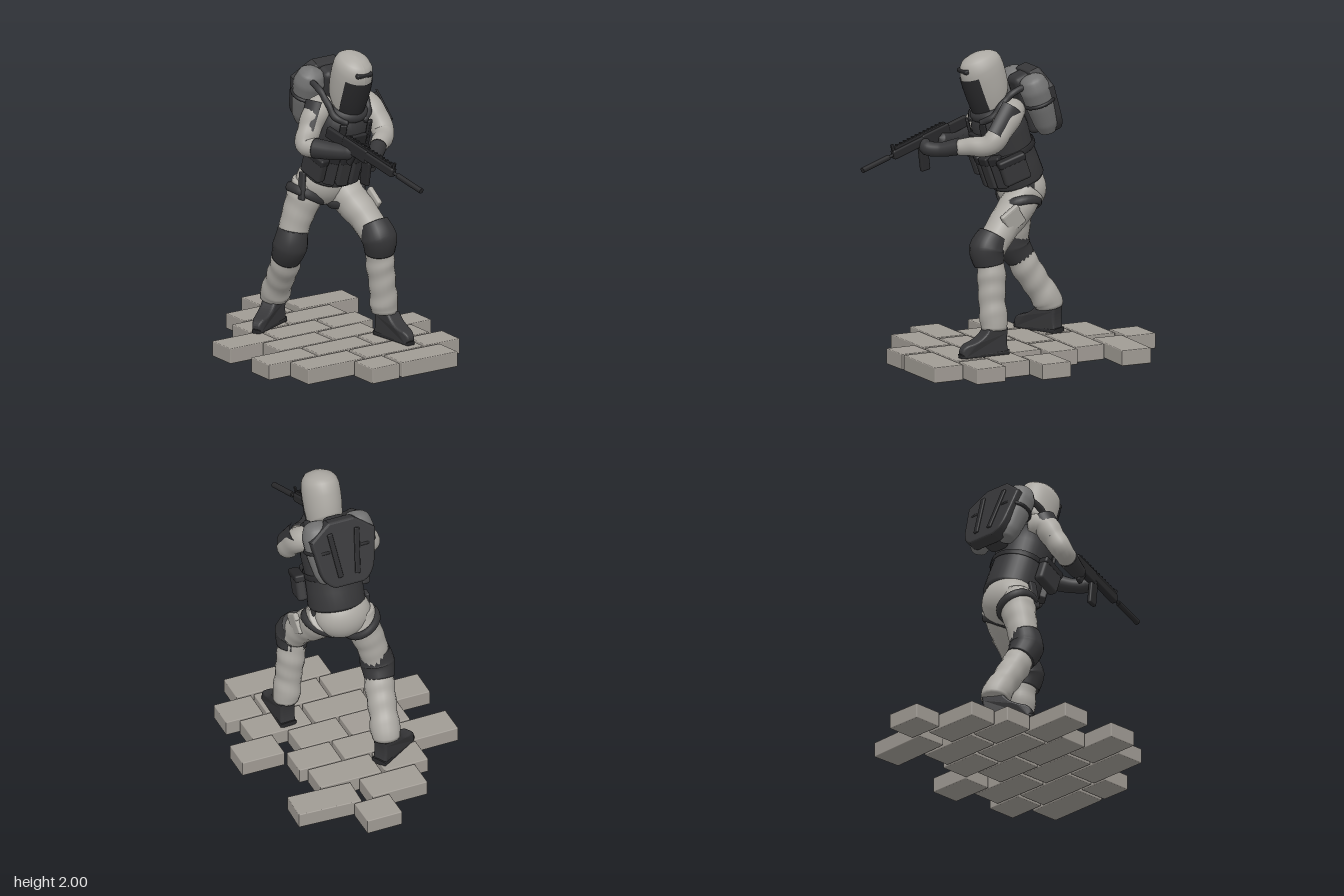
import * as THREE from 'three';
import { mergeVertices } from 'three/addons/utils/BufferGeometryUtils.js';
import { RoundedBoxGeometry } from 'three/addons/geometries/RoundedBoxGeometry.js';

const material = (name, color, side = THREE.FrontSide) => {
  const m = new THREE.MeshStandardMaterial({ color, side });
  m.name = name;
  return m;
};
const V = (x, y, z) => new THREE.Vector3(x, y, z);

export function createModel() {
  const cloth = material('pale cloth', 0xaca9a3);
  const stone = material('paving stone', 0xa09b94);
  const dark = material('dark padding', 0x363638, THREE.DoubleSide);
  const black = material('black gear', 0x29292b, THREE.DoubleSide);
  const steel = material('tank grey', 0x737373);
  const root = new THREE.Group();
  root.name = 'armouredSoldier';

  function add(parent, name, geo, mat, pos = [0, 0, 0], rot = [0, 0, 0]) {
    const mesh = new THREE.Mesh(geo, mat);
    mesh.name = name;
    mesh.position.set(...pos);
    mesh.rotation.set(...rot);
    parent.add(mesh);
    return mesh;
  }
  const box = (x, y, z, r = 0.012) => new RoundedBoxGeometry(x, y, z, 2, Math.min(r, x / 3, y / 3, z / 3));

  // Tapered tube through [x, y, z, radius] points, closed at both ends
  function limb(parent, name, mat, pts, fold = 0, rows = 28, sides = 18) {
    const curve = new THREE.CatmullRomCurve3(pts.map(p => V(p[0], p[1], p[2])));
    const geo = new THREE.TubeGeometry(curve, rows, 1, sides, false);
    const pos = geo.attributes.position, v = V(0, 0, 0);
    for (let i = 0; i <= rows; i++) {
      const u = i / rows, c = curve.getPointAt(u);
      const t = curve.getUtoTmapping(u) * (pts.length - 1);
      const k = Math.min(Math.floor(t), pts.length - 2);
      const base = THREE.MathUtils.lerp(pts[k][3], pts[k + 1][3], t - k);
      for (let j = 0; j <= sides; j++) {
        const n = i * (sides + 1) + j, a = (j % sides) / sides * Math.PI * 2;
        let r = base * (1 + fold * Math.sin(u * 26 + 1.5 * Math.sin(a)));
        if (i === 0 || i === rows) r = 0.0005;
        v.fromBufferAttribute(pos, n).sub(c).multiplyScalar(r).add(c);
        pos.setXYZ(n, v.x, v.y, v.z);
      }
    }
    geo.deleteAttribute('uv');
    geo.deleteAttribute('normal');
    const smooth = mergeVertices(geo, 1e-6);
    smooth.computeVertexNormals();
    return add(parent, name, smooth, mat);
  }
  const lathe = (pts, sx, sz, seg = 32, start = 0, len = Math.PI * 2) =>
    new THREE.LatheGeometry(pts.map(p => new THREE.Vector2(p[0], p[1])), seg, start, len).scale(sx, 1, sz);

  // Paving: [z centre, x start, x end, x start, x end, ...] for each row
  const rows = [
    [-0.89, -0.03, 0.21], [-0.67, -0.30, 0.08, 0.15, 0.575], [-0.455, -0.40, -0.10, -0.08, 0.34],
    [-0.24, -0.70, -0.34, -0.32, 0.08, 0.10, 0.39], [-0.03, -0.46, -0.06, -0.04, 0.29, 0.40, 0.69],
    [0.18, -0.69, -0.32, -0.30, 0.10, 0.12, 0.53], [0.395, -0.54, -0.11, -0.09, 0.34, 0.36, 0.615],
    [0.61, -0.20, 0.01, 0.03, 0.45],
  ];
  let seed = 7;
  const rand = () => (seed = (seed * 16807) % 2147483647) / 2147483647 - 0.5;
  for (const [z, ...xs] of rows) for (let i = 0; i < xs.length; i += 2) {
    const w = xs[i + 1] - xs[i];
    add(root, 'pavingBrick', box(w, 0.1, 0.203, 0.006), stone,
      [xs[i] + w / 2, 0.058, z], [rand() * 0.01, rand() * 0.025 - (z === -0.67 && i ? 0.05 : 0), rand() * 0.01]);
  }

  // Hips and legs
  add(root, 'hips', new THREE.SphereGeometry(1, 28, 20).scale(0.185, 0.16, 0.15), cloth, [0.01, 1.1, -0.14]);
  limb(root, 'leftThigh', cloth, [[0.11, 1.12, -0.14, 0.11], [0.13, 0.99, -0.03, 0.115], [0.17, 0.88, 0.09, 0.102], [0.2, 0.76, 0.19, 0.095]], 0.012);
  limb(root, 'leftShin', cloth, [[0.205, 0.74, 0.19, 0.085], [0.22, 0.6, 0.185, 0.092], [0.235, 0.45, 0.19, 0.085], [0.25, 0.32, 0.185, 0.09], [0.252, 0.25, 0.185, 0.08]], 0.03);
  limb(root, 'leftKneePad', dark, [[0.19, 0.86, 0.15, 0.095], [0.198, 0.77, 0.205, 0.115], [0.21, 0.665, 0.195, 0.094]]);
  limb(root, 'rightThigh', cloth, [[-0.09, 1.12, -0.15, 0.1], [-0.11, 1.0, -0.175, 0.115], [-0.16, 0.86, -0.19, 0.1], [-0.2, 0.7, -0.2, 0.092]], 0.012);
  limb(root, 'rightShin', cloth, [[-0.2, 0.69, -0.2, 0.085], [-0.19, 0.55, -0.27, 0.096], [-0.175, 0.4, -0.365, 0.09], [-0.165, 0.31, -0.42, 0.098], [-0.165, 0.25, -0.435, 0.085]], 0.03);
  limb(root, 'rightKneePad', dark, [[-0.185, 0.8, -0.19, 0.096], [-0.205, 0.69, -0.195, 0.112], [-0.2, 0.59, -0.25, 0.094]]);

  // Thigh harness and pocket
  add(root, 'leftThighStrap', new THREE.TorusGeometry(0.122, 0.018, 8, 32).scale(1, 1, 1.7), dark, [0.125, 1.01, -0.07], [Math.PI / 2, 0.5, 0]);
  add(root, 'rightThighStrap', new THREE.TorusGeometry(0.12, 0.018, 8, 32).scale(1, 1, 1.7), dark, [-0.1, 1.02, -0.17], [Math.PI / 2, -0.5, 0]);
  for (const s of [1, -1])
    add(root, 'hipStrap', box(0.025, 0.18, 0.055), dark, [0.01 + s * 0.19, 1.1, -0.1], [-0.1, 0, s * 0.12]);
  add(root, 'thighPocket', box(0.03, 0.13, 0.13), cloth, [0.252, 0.955, 0.045], [0.6, 0, -0.12]);
  add(root, 'pocketFlap', box(0.035, 0.05, 0.14), cloth, [0.254, 0.995, 0.07], [0.6, 0, -0.12]);

  // Boots: side profile extruded across and narrowed at the toe
  const profile = new THREE.Shape();
  profile.moveTo(-0.07, 0.012);
  profile.lineTo(0.22, 0.012);
  profile.quadraticCurveTo(0.25, 0.05, 0.2, 0.075);
  profile.quadraticCurveTo(0.1, 0.095, 0.055, 0.16);
  profile.lineTo(-0.065, 0.16);
  profile.quadraticCurveTo(-0.05, 0.08, -0.07, 0.012);
  function boot(name, pos, turn) {
    const g = new THREE.Group();
    g.name = name;
    const make = (shape, depth) => {
      const geo = new THREE.ExtrudeGeometry(shape, { depth, bevelSize: 0.014, bevelThickness: 0.02, bevelSegments: 4, curveSegments: 8 });
      geo.translate(0, 0, -depth / 2).rotateY(-Math.PI / 2);
      const p = geo.attributes.position;
      for (let i = 0; i < p.count; i++) p.setX(i, p.getX(i) * (1 - 0.55 * Math.max(0, (p.getZ(i) - 0.12) / 0.13) ** 2));
      geo.computeVertexNormals();
      return geo;
    };
    add(g, 'bootUpper', make(profile, 0.062), dark);
    const sole = new THREE.Shape([[-0.075, 0.008], [0.235, 0.008], [0.238, 0.018], [-0.075, 0.018]].map(p => new THREE.Vector2(...p)));
    add(g, 'bootSole', make(sole, 0.072), black);
    g.position.set(...pos);
    g.rotation.y = turn;
    root.add(g);
  }
  boot('leftBoot', [0.27, 0.105, 0.195], 0.05);
  boot('rightBoot', [-0.17, 0.105, -0.43], -1.08);

  // Torso, leaning forward
  const torso = new THREE.Group();
  torso.name = 'torso';
  torso.position.set(0.03, 1.16, -0.1);
  torso.rotation.x = 0.35;
  root.add(torso);
  add(torso, 'vest', lathe([[0, -0.01], [0.17, -0.01], [0.185, 0.01], [0.182, 0.12], [0.176, 0.22], [0.186, 0.34], [0.178, 0.43], [0.14, 0.49], [0.09, 0.53], [0, 0.53]], 1, 0.94), dark);
  add(torso, 'vestBelt', lathe([[0.186, 0.2], [0.192, 0.205], [0.192, 0.235], [0.184, 0.24]], 1, 0.95), black);
  add(torso, 'collar', new THREE.TorusGeometry(0.1, 0.035, 12, 32).rotateX(Math.PI / 2), dark, [0, 0.5, 0.02]);
  for (const a of [-0.63, -0.21, 0.21, 0.63]) {
    const x = 0.195 * Math.sin(a), z = 0.185 * Math.cos(a);
    add(torso, 'magazinePouch', box(0.075, 0.21, 0.055), dark, [x, 0.14, z], [0, a, 0]);
    add(torso, 'pouchFlap', box(0.079, 0.055, 0.062), black, [x, 0.225, z], [0, a, 0]);
  }
  for (const s of [1, -1]) {
    add(torso, 'sidePouch', box(0.065, 0.17, 0.18, 0.02), dark, [s * 0.205, 0.15, 0.085], [0, -s * 0.15, 0]);
    add(torso, 'sidePouchFlap', box(0.07, 0.05, 0.187, 0.015), black, [s * 0.206, 0.215, 0.085], [0, -s * 0.15, 0]);
    add(torso, 'chestStrap', box(0.045, 0.2, 0.02), black, [s * 0.1, 0.38, 0.16], [-0.1, s * 0.5, 0]);
  }
  add(torso, 'chestPanel', box(0.16, 0.12, 0.03), black, [0, 0.34, 0.172]);

  // Backpack: two tanks held by a tapered cover
  const pack = new THREE.Group();
  pack.name = 'backpack';
  pack.position.x = 0.015;
  torso.add(pack);
  for (const s of [1, -1]) {
    limb(pack, 'airTank', steel, [[s * 0.115, 0.23, -0.245, 0.045], [s * 0.12, 0.3, -0.25, 0.075], [s * 0.132, 0.43, -0.25, 0.092], [s * 0.138, 0.55, -0.25, 0.1], [s * 0.138, 0.62, -0.25, 0.078], [s * 0.138, 0.652, -0.25, 0.03]]);
    add(pack, 'tankBand', new THREE.TorusGeometry(0.095, 0.012, 8, 28).rotateX(Math.PI / 2), black, [s * 0.134, 0.46, -0.25]);
    add(pack, 'packStrap', box(0.035, 0.3, 0.02), black, [s * 0.075, 0.43, -0.352], [0, 0, -s * 0.12]);
  }
  add(pack, 'packCore', box(0.15, 0.4, 0.17, 0.04), dark, [0, 0.44, -0.25]);
  const cover = new THREE.Shape();
  cover.moveTo(-0.09, 0.23);
  cover.lineTo(0.09, 0.23);
  cover.quadraticCurveTo(0.15, 0.25, 0.17, 0.34);
  cover.lineTo(0.205, 0.54);
  cover.quadraticCurveTo(0.13, 0.6, 0.08, 0.635);
  cover.lineTo(-0.08, 0.635);
  cover.quadraticCurveTo(-0.13, 0.6, -0.205, 0.54);
  cover.lineTo(-0.17, 0.34);
  cover.quadraticCurveTo(-0.15, 0.25, -0.09, 0.23);
  add(pack, 'packCover', new THREE.ExtrudeGeometry(cover, { depth: 0.055, bevelSize: 0.015, bevelThickness: 0.015, bevelSegments: 3 }), dark, [0, 0, -0.335]);

  // Helmet with visor; the back of its lower rim is raised
  const helmet = new THREE.Group();
  helmet.name = 'helmet';
  helmet.position.set(0.03, 1.6, 0.05);
  helmet.rotation.x = 0.35;
  root.add(helmet);
  const raise = (geo, rule) => {
    const p = geo.attributes.position;
    for (let i = 0; i < p.count; i++) p.setY(i, p.getY(i) + rule(p.getX(i), p.getY(i), p.getZ(i)));
    geo.computeVertexNormals();
    return geo;
  };
  const shell = lathe([[0, 0.01], [0.84, 0], [0.92, 0.04], [0.98, 0.14], [1, 0.24], [0.98, 0.31], [0.9, 0.36], [0.72, 0.395], [0.4, 0.414], [0, 0.42]], 0.122, 0.148, 40);
  add(helmet, 'helmetShell', raise(shell, (x, y, z) => Math.max(0, 1 - y / 0.4) * 0.5 * (0.148 - z)), cloth);
  const visor = lathe([[0.92, 0.01], [0.99, 0.07], [1.03, 0.15], [1.04, 0.24], [1.025, 0.3]], 0.122, 0.148, 24, -1, 2);
  add(helmet, 'visor', raise(visor, (x, y) => (y < 0.15 ? (0.15 - y) / 0.14 : 0) * 0.06 * (x / 0.1) ** 2), black);
  add(helmet, 'browLamp', box(0.12, 0.028, 0.05), black, [0, 0.355, 0.112]);
  add(root, 'neck', new THREE.CylinderGeometry(0.085, 0.095, 0.2, 24), dark, [0.03, 1.66, 0.055], [0.35, 0, 0]);
  for (const s of [1, -1]) {
    const hose = [[0.15, 1.78, -0.12], [0.155, 1.77, -0.02], [0.145, 1.7, 0.07], [0.125, 1.6, 0.15], [0.06, 1.56, 0.2]];
    limb(root, 'breathingHose', dark, hose.map(p => [0.03 + s * p[0], p[1], p[2], 0.021]), 0.1, 48, 10);
  }

  // Arms, gloves and upper arm guards
  limb(root, 'leftArm', cloth, [[0.12, 1.63, -0.02, 0.08], [0.2, 1.62, 0.04, 0.085], [0.24, 1.53, 0.13, 0.075], [0.235, 1.45, 0.2, 0.07], [0.15, 1.43, 0.29, 0.06], [0.08, 1.42, 0.36, 0.05]], 0.025, 36);
  limb(root, 'rightArm', cloth, [[-0.06, 1.63, -0.02, 0.08], [-0.15, 1.62, 0.02, 0.085], [-0.22, 1.52, 0.04, 0.075], [-0.265, 1.43, 0.07, 0.068], [-0.22, 1.42, 0.16, 0.06], [-0.18, 1.42, 0.23, 0.05]], 0.025, 36);
  limb(root, 'leftGlove', dark, [[0.1, 1.43, 0.34, 0.056], [0.01, 1.4, 0.43, 0.046], [-0.06, 1.405, 0.495, 0.048], [-0.105, 1.44, 0.5, 0.035]]);
  limb(root, 'rightGlove', dark, [[-0.245, 1.42, 0.12, 0.066], [-0.18, 1.42, 0.24, 0.056], [-0.12, 1.43, 0.35, 0.048], [-0.1, 1.45, 0.39, 0.034]]);
  function guard(name, a, b, side) {
    const d = V(...a).sub(V(...b));
    const geo = new THREE.CylinderGeometry(0.088, 0.082, d.length(), 16, 1, true, side * Math.PI / 2 - 1.1, 2.2);
    const mid = V(...a).add(V(...b)).multiplyScalar(0.5);
    add(root, name, geo, dark, mid.toArray()).quaternion.setFromUnitVectors(V(0, 1, 0), d.normalize());
  }
  guard('leftArmGuard', [0.2, 1.665, 0.05], [0.235, 1.5, 0.18], 1);
  guard('rightArmGuard', [-0.13, 1.67, 0.02], [-0.21, 1.5, 0.045], -1);

  // Rifle, built along its own forward z axis
  const rifle = new THREE.Group();
  rifle.name = 'rifle';
  rifle.position.set(-0.16, 1.53, 0.18);
  rifle.lookAt(-0.012, 1.317, 0.985);
  root.add(rifle);
  const barrel = (name, r, z0, z1) =>
    add(rifle, name, new THREE.CylinderGeometry(r, r, z1 - z0, 16).rotateX(Math.PI / 2), black, [0, 0, (z0 + z1) / 2]);
  barrel('suppressor', 0.018, 0.625, 0.842);
  barrel('barrel', 0.01, 0.55, 0.64);
  add(rifle, 'handguard', box(0.045, 0.06, 0.26), black, [0, 0, 0.46]);
  add(rifle, 'receiver', box(0.045, 0.09, 0.22), black, [0, -0.008, 0.24]);
  add(rifle, 'stock', box(0.035, 0.075, 0.16), black, [0, -0.01, 0.06]);
  add(rifle, 'topRail', box(0.022, 0.02, 0.42, 0.003), black, [0, 0.04, 0.36]);
  for (let i = 0; i < 12; i++) add(rifle, 'railTooth', box(0.026, 0.008, 0.012, 0.002), black, [0, 0.052, 0.18 + i * 0.033]);
  add(rifle, 'frontSight', box(0.012, 0.05, 0.02, 0.003), black, [0, 0.045, 0.58]);
  add(rifle, 'magazine', box(0.03, 0.16, 0.07), black, [0, -0.115, 0.36], [-0.12, 0, 0]);
  add(rifle, 'pistolGrip', box(0.03, 0.1, 0.045), black, [0, -0.08, 0.22], [0.3, 0, 0]);

  return root;
}
